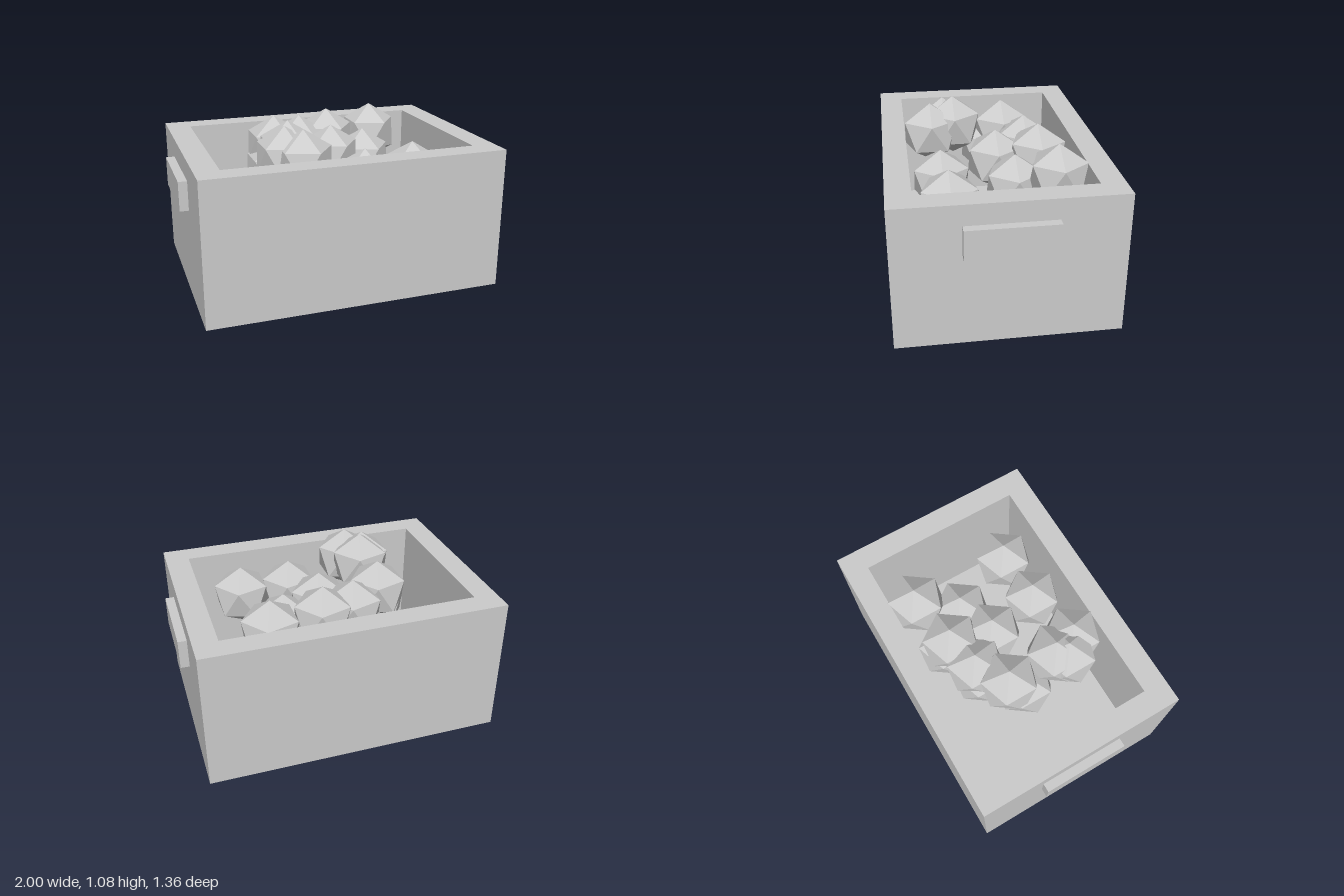
import * as THREE from 'three';

const W = 1.89, H = 0.905, D = 1.36, WALL = 0.15;
const LUMP_R = 0.2;

// Centres of the lumps: x, y, z
const LUMPS = [
  [-0.345, 0.86, 0.265], [-0.307, 0.877, 0.2], [-0.254, 0.852, 0.355],
  [-0.307, 0.835, -0.13], [-0.1, 0.795, -0.25], [0.055, 0.765, -0.04],
  [0.113, 0.815, -0.305], [0.456, 0.815, -0.368], [0.313, 0.7, -0.125],
  [0.158, 0.69, 0.322], [0.49, 0.703, 0.302],
  [-0.34, 0.7, -0.04], [0.14, 0.68, -0.33], [-0.13, 0.66, -0.23],
];

function rectangle(PathType, w, d) {
  const x = w / 2, y = d / 2;
  return new PathType([[-x, -y], [x, -y], [x, y], [-x, y]].map(([a, b]) => new THREE.Vector2(a, b)));
}

export function createModel() {
  const model = new THREE.Group();
  const material = new THREE.MeshStandardMaterial({ color: 0xcccccc, flatShading: true });

  function add(name, geometry, x = 0, y = 0, z = 0, parent = model) {
    const mesh = new THREE.Mesh(geometry, material);
    mesh.name = name;
    mesh.position.set(x, y, z);
    parent.add(mesh);
  }

  // Thick crate walls, extruded upwards around the opening
  const outline = rectangle(THREE.Shape, W, D);
  outline.holes.push(rectangle(THREE.Path, W - 2 * WALL, D - 2 * WALL));
  const walls = new THREE.ExtrudeGeometry(outline, { depth: H, bevelEnabled: false });
  walls.rotateX(-Math.PI / 2);
  add('crateWalls', walls);

  // Floor closing the bottom of the opening
  add('crateFloor', new THREE.BoxGeometry(W - 2 * WALL, WALL, D - 2 * WALL), 0, WALL / 2, 0);

  // Block handles on both ends
  for (const [name, side] of [['leftHandle', 1], ['rightHandle', -1]]) {
    add(name, new THREE.BoxGeometry(0.075, 0.185, 0.545), side * 0.9625, 0.6825, 0);
  }

  // Faceted lumps, each with a corner pointing straight up
  const lump = new THREE.IcosahedronGeometry(LUMP_R, 0);
  lump.rotateZ(-Math.atan(2 / (1 + Math.sqrt(5))));
  const pile = new THREE.Group();
  pile.name = 'lumpPile';
  for (const [x, y, z] of LUMPS) add('lump', lump, x, y, z, pile);
  model.add(pile);

  return model;
}
